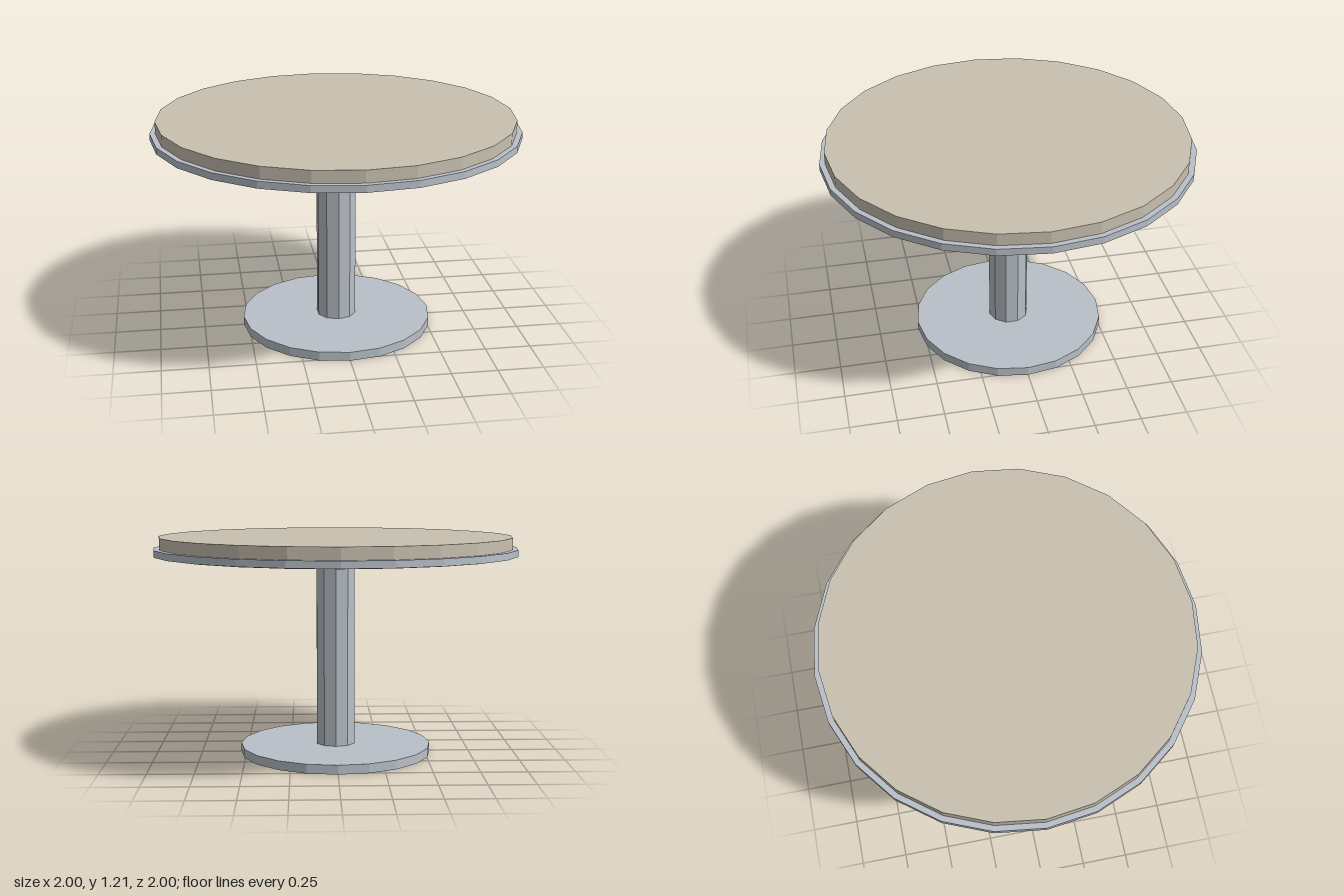
import * as THREE from 'three';

const cream = new THREE.MeshStandardMaterial({ name: 'cream', color: 0xc8c0b0 });
const steel = new THREE.MeshStandardMaterial({ name: 'steel', color: 0xb8c0c8 });
cream.flatShading = steel.flatShading = true;

// Upright faceted disc or post between two heights
function disc(name, radius, bottom, top, sides, material) {
  const geometry = new THREE.CylinderGeometry(radius, radius, top - bottom, sides);
  const mesh = new THREE.Mesh(geometry, material);
  mesh.name = name;
  mesh.position.y = (bottom + top) / 2;
  return mesh;
}

export function createModel() {
  const table = new THREE.Group();
  table.name = 'pedestalTable';
  table.add(
    disc('base', 0.53, 0, 0.05, 20, steel),
    disc('column', 0.11, 0.05, 1.11, 10, steel),
    // The top passes through the rim and shows on the underside
    disc('tableTop', 0.97, 1.107, 1.212, 24, cream),
    disc('rim', 1, 1.111, 1.148, 24, steel),
  );
  return table;
}
